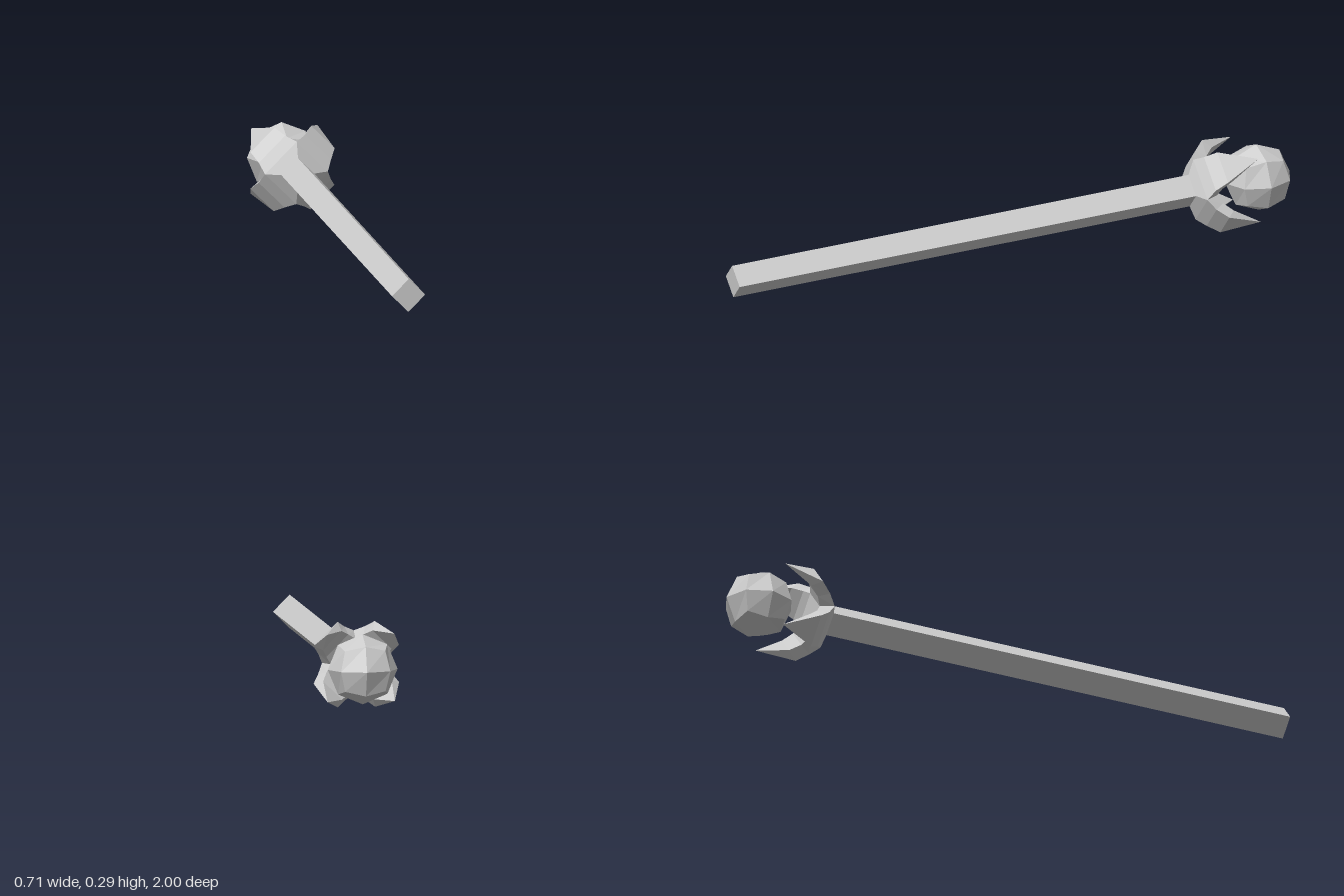
import * as THREE from 'three';

const grey = () => new THREE.MeshStandardMaterial({ color: 0xcccccc, flatShading: true, side: THREE.DoubleSide });

function part(name, geometry) {
  const flat = geometry.index ? geometry.toNonIndexed() : geometry;
  flat.computeVertexNormals();
  const mesh = new THREE.Mesh(flat, grey());
  mesh.name = name;
  return mesh;
}

// Joins four-cornered sections, each { outer: [r, t, halfWidth], inner: [...] },
// r = distance from the axis (x), t = distance along the axis (z)
function loftGeometry(sections) {
  const positions = [], index = [];
  for (const { outer: [ro, to, wo], inner: [ri, ti, wi] } of sections) {
    positions.push(ro, wo, to, ro, -wo, to, ri, -wi, ti, ri, wi, ti);
  }
  for (let s = 0; s < sections.length - 1; s++) {
    for (let i = 0; i < 4; i++) {
      const a = s * 4 + i, b = s * 4 + (i + 1) % 4;
      index.push(a, b + 4, b, a, a + 4, b + 4);
    }
  }
  const geometry = new THREE.BufferGeometry();
  geometry.setAttribute('position', new THREE.Float32BufferAttribute(positions, 3));
  geometry.setIndex(index);
  return geometry;
}

// Cube with split faces, pushed out to a sphere
function orbGeometry(radius) {
  const geometry = new THREE.BoxGeometry(1, 1, 1, 2, 2, 2);
  const p = geometry.attributes.position, v = new THREE.Vector3();
  for (let i = 0; i < p.count; i++) {
    v.fromBufferAttribute(p, i).setLength(radius);
    p.setXYZ(i, v.x, v.y, v.z);
  }
  return geometry;
}

export function createModel() {
  const model = new THREE.Group();
  model.name = 'staff';

  // Staff axis: local +z runs from the foot of the shaft to the orb
  const staff = new THREE.Group();
  staff.name = 'staffBody';
  staff.position.set(0.295, 0.085, 0.982);
  staff.lookAt(-0.177, 0.15, -0.66);
  model.add(staff);

  // Square shaft standing on its edge
  const shaftLength = 1.7;
  const shaft = part('shaft', new THREE.BoxGeometry(0.081, 0.081, shaftLength));
  shaft.position.z = shaftLength / 2;
  shaft.rotation.z = Math.PI / 4;
  staff.add(shaft);

  // Square collar flaring out from the shaft
  const collarProfile = [[0.057, 1.69], [0.109, 1.71], [0.085, 1.755], [0, 1.755]];
  const collar = new THREE.LatheGeometry(collarProfile.map(([r, t]) => new THREE.Vector2(r, t)), 4);
  collar.rotateX(Math.PI / 2);
  staff.add(part('collar', collar));

  // Four claws, one from each side of the collar
  const tip = [0.162, 1.9, 0];
  const clawSections = [
    { outer: [0.077, 1.71, 0.077], inner: [0.06, 1.755, 0.06] },
    { outer: [0.113, 1.735, 0.064], inner: [0.09, 1.77, 0.053] },
    { outer: [0.148, 1.772, 0.058], inner: [0.12, 1.802, 0.045] },
    { outer: tip, inner: tip },
  ];
  for (let i = 0; i < 4; i++) {
    const claw = part('claw', loftGeometry(clawSections));
    claw.rotation.z = Math.PI / 4 + i * Math.PI / 2;
    staff.add(claw);
  }

  // Faceted orb held between the claws
  const orb = part('orb', orbGeometry(0.119));
  orb.position.z = 1.943;
  staff.add(orb);

  return model;
}
